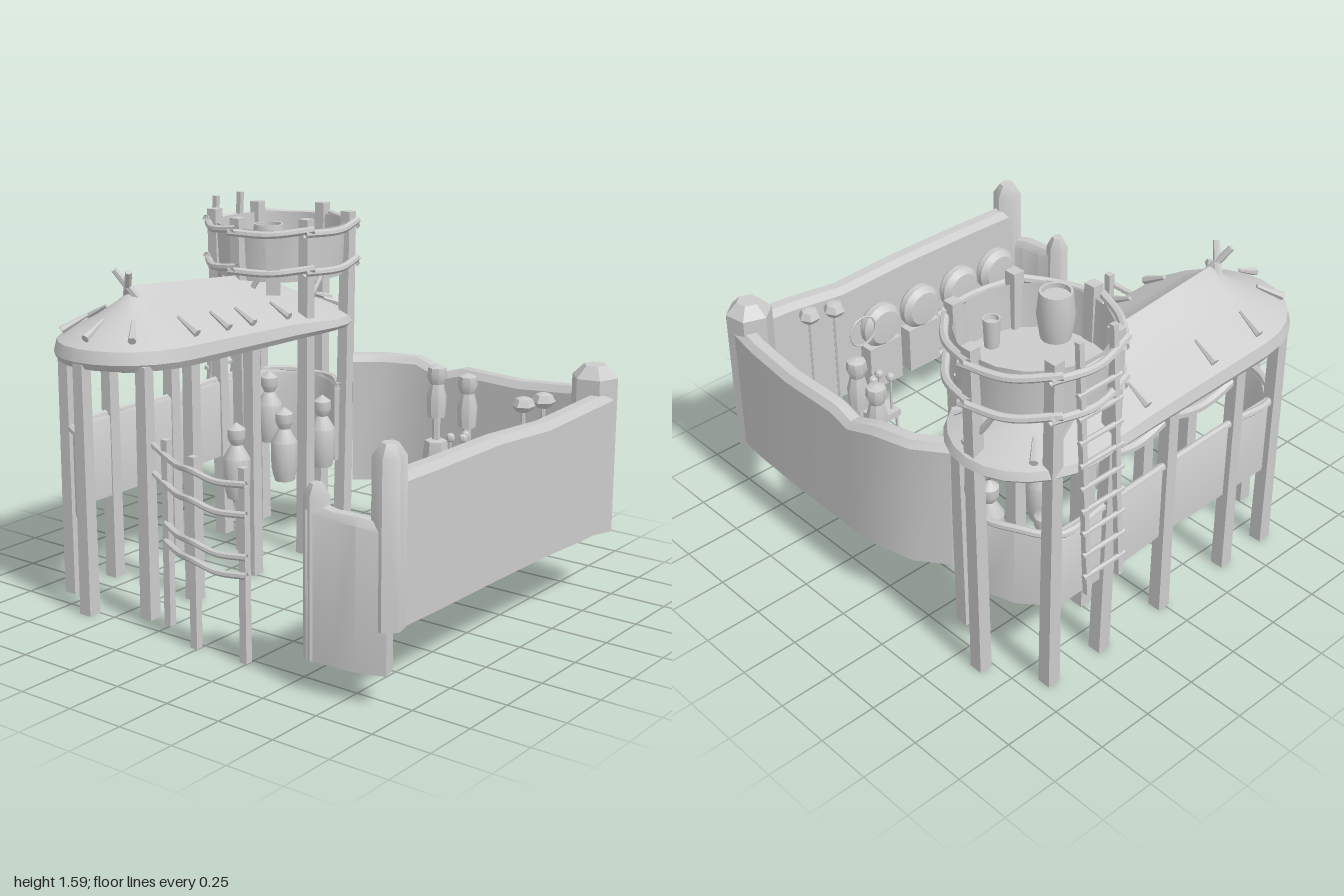
import * as THREE from 'three';
import { toCreasedNormals } from 'three/addons/utils/BufferGeometryUtils.js';

const mat = new THREE.MeshStandardMaterial({ color: 0xcccccc, side: THREE.DoubleSide });
const V = (x, y, z) => new THREE.Vector3(x, y, z);

export function createModel() {
  const root = new THREE.Group();
  const group = (name) => {
    const g = new THREE.Group();
    g.name = name;
    root.add(g);
    return g;
  };
  const add = (parent, name, geo, x = 0, y = 0, z = 0) => {
    const m = new THREE.Mesh(toCreasedNormals(geo, 0.6), mat);
    m.name = name;
    m.position.set(x, y, z);
    parent.add(m);
    return m;
  };
  // tapered bar between two points
  const bar = (parent, name, a, b, r0, r1 = r0, sides = 8) => {
    const d = b.clone().sub(a);
    const m = add(parent, name, new THREE.CylinderGeometry(r1, r0, d.length(), sides));
    if (sides === 4) m.geometry.rotateY(Math.PI / 4);
    m.position.copy(a).add(b).multiplyScalar(0.5);
    m.quaternion.setFromUnitVectors(V(0, 1, 0), d.normalize());
    return m;
  };
  const tube = (parent, name, pts, r) =>
    add(parent, name, new THREE.TubeGeometry(new THREE.CatmullRomCurve3(pts), pts.length * 5, r, 7));
  const lathe = (parent, name, profile, x, y, z, sides = 12) =>
    add(parent, name, new THREE.LatheGeometry(profile.map((p) => new THREE.Vector2(...p)), sides), x, y, z);
  // skin over a list of closed rings
  const loft = (rings, caps) => {
    const n = rings[0].length, pos = [], idx = [];
    rings.flat().forEach((p) => pos.push(p.x, p.y, p.z));
    for (let i = 0; i < rings.length - 1; i++)
      for (let j = 0; j < n; j++) {
        const a = i * n + j, b = i * n + (j + 1) % n;
        idx.push(a, b, a + n, b, b + n, a + n);
      }
    const e = (rings.length - 1) * n;
    if (caps) for (let j = 1; j < n - 1; j++) idx.push(0, j + 1, j, e, e + j, e + j + 1);
    const g = new THREE.BufferGeometry();
    g.setAttribute('position', new THREE.Float32BufferAttribute(pos, 3));
    g.setIndex(idx);
    g.computeVertexNormals();
    return g;
  };
  // upright wall along a plan path of [x, z, top]
  const wall = (parent, name, path, w, lo, bevel) => {
    const rings = path.map(([x, z, hi], i) => {
      const p = path[Math.max(0, i - 1)], q = path[Math.min(path.length - 1, i + 1)];
      const l = Math.hypot(q[0] - p[0], q[1] - p[1]);
      const sx = (q[1] - p[1]) / l, sz = -(q[0] - p[0]) / l;
      return [[w, lo], [w, hi - bevel], [w * 0.5, hi], [-w * 0.5, hi], [-w, hi - bevel], [-w, lo]]
        .map(([s, y]) => V(x + sx * s, y, z + sz * s));
    });
    return add(parent, name, loft(rings, true));
  };

  // Perimeter wall with corner pillars
  const yard = group('yardWall');
  wall(yard, 'backWall', [[-0.32, -0.66, 0.89], [-0.2, -0.75, 0.89], [-0.04, -0.795, 0.89], [0.1, -0.8, 0.84],
    [0.2, -0.8, 0.87], [0.5, -0.795, 0.86], [0.75, -0.785, 0.88], [0.9, -0.77, 0.9]], 0.045, 0.3, 0.03);
  wall(yard, 'sideWall', [[0.94, -0.72, 0.89], [0.935, -0.5, 0.88], [0.915, -0.25, 0.86], [0.905, 0.1, 0.88],
    [0.9, 0.5, 0.88], [0.89, 0.78, 0.88]], 0.045, 0.3, 0.03);
  wall(yard, 'frontWall', [[0.91, 0.77, 0.7], [0.8, 0.805, 0.72], [0.7, 0.815, 0.72], [0.59, 0.82, 0.74]], 0.04, 0.13, 0.03);
  const pillar = (x, z, r, lo, hi, turn) => {
    const m = lathe(yard, 'pillar', [[0, lo], [r, lo], [r, hi - 0.05], [r * 0.5, hi], [0, hi]], x, 0, z, 6);
    m.rotation.y = turn;
  };
  pillar(0.89, -0.73, 0.1, 0.28, 1.0, 0.7);
  pillar(0.895, 0.76, 0.065, 0.3, 1.0, 0.2);
  pillar(0.61, 0.815, 0.05, 0.13, 0.81, 0.1);

  // Hall roof: rings shrink from the eaves to a sloping ridge
  const hall = group('hall');
  const cx = -0.615, lerp = THREE.MathUtils.lerp;
  const ridgeY = (z) => (z > -0.2 ? lerp(1.285, 1.34, (z + 0.2) / 0.65) : lerp(1.285, 1.2, (-0.2 - z) / 0.3));
  const roofPoint = (z0, a, s, f) => {
    const z = z0 + 0.36 * s * Math.cos(a), eave = 1.035 + 0.02 * z;
    return V(cx + 0.325 * s * Math.sin(a), eave + f * (ridgeY(z0) - eave), z);
  };
  const outline = [];
  for (let k = 0; k <= 12; k++) outline.push([0.45, (k / 12 - 0.5) * Math.PI]);
  for (const z of [0.25, 0, -0.2, -0.35]) outline.push([z, Math.PI / 2]);
  for (let k = 0; k <= 12; k++) outline.push([-0.5, (k / 12 + 0.5) * Math.PI]);
  for (const z of [-0.35, -0.2, 0, 0.25]) outline.push([z, -Math.PI / 2]);
  const profile = [[0, 0], [0.95, 0], [1, 0.1], [0.96, 0.28], [0.75, 0.43], [0.5, 0.57], [0.25, 0.76], [0, 1]];
  add(hall, 'thatchRoof', loft(profile.map(([s, f]) => outline.map(([z, a]) => roofPoint(z, a, s, f)))));
  // Pegs stuck in the roof and crossed ridge horns
  const R = Math.PI / 2;
  [[-0.2, -R], [0.17, -R], [0.43, -R], [-0.2, R], [0.04, R], [0.2, R], [0.4, R], [0.45, -0.65], [0.45, 0.08],
    [0.45, 0.75], [-0.5, 2.3], [-0.5, -2.3], [-0.5, 3.0]].forEach(([z, a]) =>
    bar(hall, 'roofPeg', roofPoint(z, a, 0.9, 0.42), roofPoint(z, a, 0.58, 0.62), 0.018, 0.008, 6));
  for (const s of [-1, 1]) bar(hall, 'ridgeHorn', V(cx - s * 0.03, 1.29, 0.47), V(cx + s * 0.04, 1.41, 0.53), 0.018, 0.014, 6);

  // Hall posts, low panels, rails and swags
  [[-0.61, 0.78], [-0.85, 0.63], [-0.38, 0.66], [-0.85, 0.38], [-0.38, 0.38], [-0.85, -0.01], [-0.38, -0.01]]
    .forEach(([x, z]) => bar(hall, 'hallPost', V(x, 0, z), V(x, 1.07, z), 0.042, 0.036, 4));
  const panelPath = [[-0.61, 0.75], [-0.74, 0.7], [-0.84, 0.6], [-0.84, 0.38], [-0.84, 0], [-0.86, -0.37],
    [-0.86, -0.62], [-0.74, -0.72], [-0.61, -0.76], [-0.48, -0.71], [-0.38, -0.62]];
  wall(hall, 'lowPanel', panelPath.map(([x, z]) => [x, z, 0.74]), 0.012, 0.38, 0.01);
  tube(hall, 'panelRail', panelPath.map(([x, z], i) => V(cx + (x - cx) * 1.06, 0.735 + 0.01 * (i % 2), z)), 0.016);
  for (const [z0, z1] of [[0.36, 0.02], [-0.04, -0.34]]) {
    const path = [0, 0.25, 0.5, 0.75, 1].map((t) => V(-0.84, 0.945 - 0.035 * Math.sin(t * Math.PI), lerp(z0, z1, t)));
    tube(hall, 'swag', path, 0.022);
  }
  // Jars under the roof
  [[-0.42, 0.05], [-0.42, -0.28], [-0.42, -0.56], [-0.75, -0.58]].forEach(([x, z], i) =>
    lathe(hall, 'jar', [[0, 0.36], [0.045, 0.36], [0.06, 0.42], [0.06, 0.54], [0.025, 0.6], [0.04, 0.63], [0.04, 0.67], [0, 0.7]],
      x, i === 3 ? 0.06 : 0, z));

  // Watchtower on six leaning posts
  const tower = group('watchtower');
  const tz = -0.51;
  const spot = (i, r, y) => V(cx + r * Math.sin(i * Math.PI / 3), y, tz + r * Math.cos(i * Math.PI / 3));
  for (let i = 0; i < 6; i++) {
    bar(tower, 'towerPost', spot(i, 0.28, 0), spot(i, 0.305, 1.54), 0.042, 0.035, 4);
    for (const y of [1.31, 1.48]) {
      const a = spot(i, 0.33, y), b = spot(i + 1, 0.33, y + 0.015), mid = spot(i + 0.5, 0.325, y - 0.005);
      const ext = b.clone().sub(a).multiplyScalar(0.08);
      tube(tower, 'towerRail', [a.clone().sub(ext), mid, b.clone().add(ext)], 0.017);
    }
    bar(tower, 'brace', spot(i, 0.29, 1.14), spot(i + 0.3, 0.28, 1.28), 0.013, 0.013, 5);
  }
  add(tower, 'parapet', new THREE.CylinderGeometry(0.295, 0.285, 0.23, 18, 1, true), cx, 1.375, tz);
  add(tower, 'towerFloor', new THREE.CylinderGeometry(0.285, 0.285, 0.03, 18), cx, 1.285, tz);
  const plank = add(tower, 'plank', new THREE.BoxGeometry(0.06, 0.28, 0.02), cx + 0.17, 1.35, tz + 0.27);
  plank.rotation.y = 0.55;
  lathe(tower, 'barrel', [[0, 0], [0.06, 0], [0.075, 0.1], [0.065, 0.2], [0.055, 0.2], [0.055, 0.18], [0, 0.18]], -0.525, 1.31, -0.31, 16);
  lathe(tower, 'bucket', [[0, 0], [0.03, 0], [0.035, 0.12], [0.028, 0.12], [0.025, 0.1], [0, 0.1]], -0.395, 1.3, -0.515);

  // Ladder
  const ladder = group('ladder');
  for (const z of [-0.575, -0.405]) bar(ladder, 'ladderRail', V(-0.98, 0.49, z), V(-0.91, 1.59, z), 0.017, 0.017, 4);
  for (let i = 0; i < 10; i++) {
    const y = 0.58 + i * 0.1, x = -0.988 + (y - 0.49) * 0.064;
    bar(ladder, 'rung', V(x, y, -0.6), V(x, y, -0.38), 0.011, 0.011, 6);
  }

  // Curved front fence
  const fence = group('fence');
  for (const [x, z] of [[-0.26, 0.67], [-0.015, 0.785], [0.235, 0.78]])
    bar(fence, 'fencePost', V(x, 0, z), V(x, 0.79, z), 0.024, 0.022, 4);
  const fencePath = [[-0.39, 0.63], [-0.26, 0.685], [-0.14, 0.74], [-0.01, 0.805], [0.12, 0.81], [0.26, 0.8]];
  [0.73, 0.61, 0.44, 0.365].forEach((y, k) => tube(fence, 'fenceRail', fencePath.slice(k < 2 ? 0 : 1)
    .map(([x, z], i) => V(x, y + (k < 2 ? [0.02, 0, -0.01, 0.01, -0.01, 0] : [0, -0.01, 0.01, -0.01, 0])[i], z)), 0.014));

  // Practice dummies
  const dummies = group('dummies');
  for (const [x, z] of [[0.15, -0.65], [0.35, -0.59]]) {
    lathe(dummies, 'dummyBase', [[0, 0.42], [0.045, 0.42], [0.058, 0.49], [0.05, 0.56], [0, 0.57]], x, 0, z, 6);
    bar(dummies, 'dummyPole', V(x, 0.5, z), V(x, 0.84, z), 0.018, 0.018, 6);
    lathe(dummies, 'dummyBody', [[0, 0.67], [0.04, 0.67], [0.045, 0.76], [0.03, 0.82], [0, 0.82]], x, 0, z, 8);
    lathe(dummies, 'dummyHead', [[0, 0.815], [0.03, 0.82], [0.045, 0.855], [0.04, 0.895], [0, 0.91]], x, 0, z, 8);
  }
  for (const [x, z] of [[0.78, -0.5], [0.75, -0.39]]) {
    bar(dummies, 'targetPole', V(x, 0.31, z), V(x, 0.86, z), 0.01, 0.01, 6);
    lathe(dummies, 'targetHead', [[0, 0.84], [0.03, 0.845], [0.05, 0.87], [0.035, 0.9], [0, 0.91]], x, 0, z, 6);
  }
  const hoop = add(dummies, 'hoop', new THREE.TorusGeometry(0.07, 0.005, 5, 20), 0.74, 0.7, -0.25);
  hoop.rotation.y = R;

  // Small rack with topped sticks
  const rack = group('rack');
  add(rack, 'rackTop', new THREE.BoxGeometry(0.1, 0.03, 0.13), 0.43, 0.5, -0.41);
  for (const x of [0.39, 0.47]) for (const z of [-0.46, -0.36])
    bar(rack, 'rackLeg', V(x, 0.31, z), V(x, 0.5, z), 0.007, 0.007, 5);
  for (const [x, z] of [[0.41, -0.37], [0.44, -0.44], [0.46, -0.39]]) {
    bar(rack, 'stick', V(x, 0.5, z), V(x, 0.68, z), 0.006, 0.006, 5);
    add(rack, 'stickTop', new THREE.SphereGeometry(0.02, 8, 6), x, 0.68, z);
  }

  // Round targets on blocks along the side wall
  const targets = group('targets');
  for (const z of [-0.08, 0.15, 0.39, 0.62]) {
    const t = lathe(targets, 'roundTarget', [[0, -0.03], [0.09, -0.03], [0.105, -0.01], [0.105, 0.02], [0.08, 0.045], [0, 0.05]],
      0.835, 0.62, z, 16);
    t.rotation.z = R;
    add(targets, 'targetBlock', new THREE.BoxGeometry(0.07, 0.22, 0.18), 0.835, 0.42, z);
  }
  return root;
}
